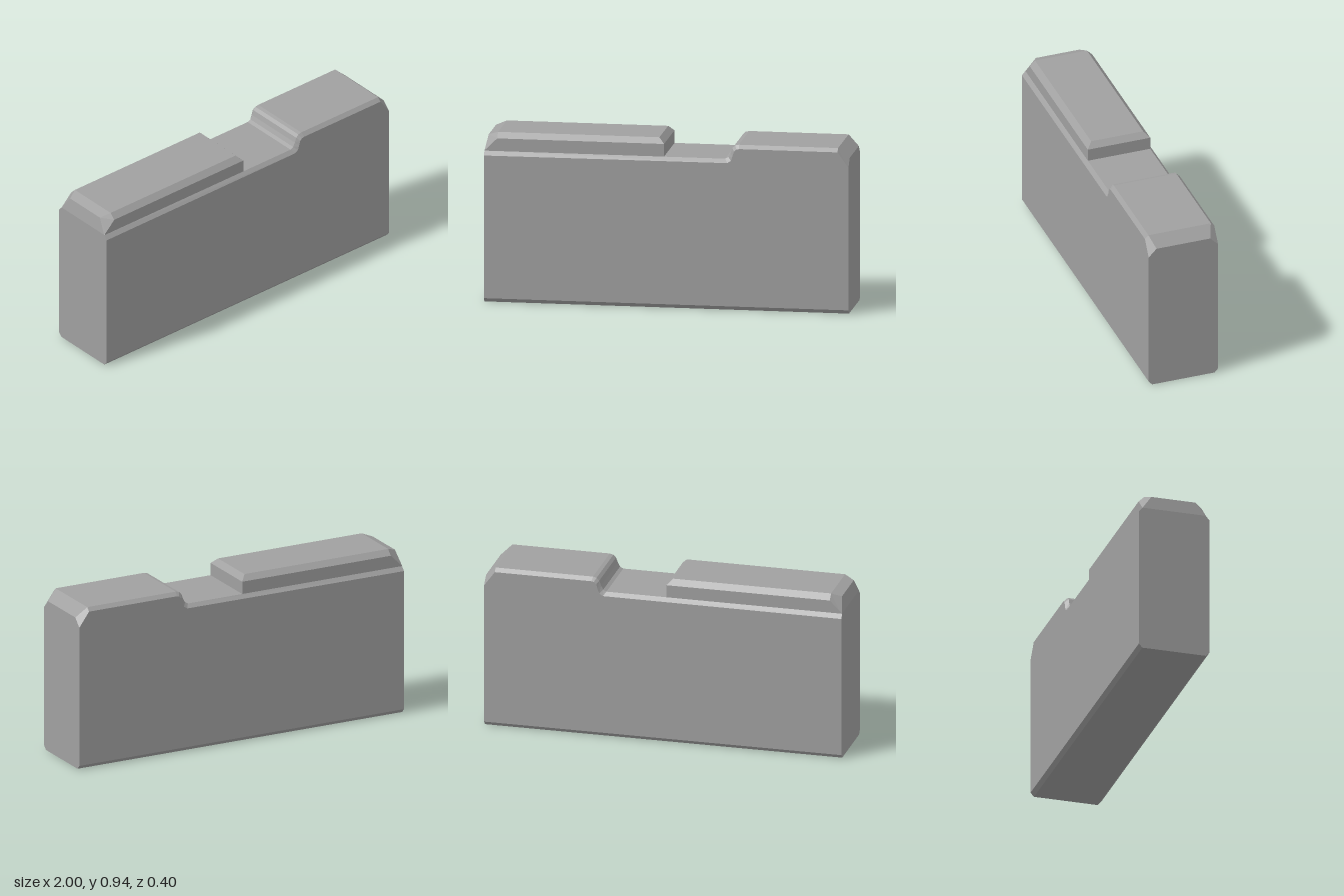
import * as THREE from 'three';

// Mirrors half a cross-section ([x, y, z] from bottom to top, z > 0) into a full ring,
// counter-clockwise when seen from +x.
function ring(half) {
  return [...half.map(([x, y, z]) => [x, y, -z]), ...half.slice().reverse()];
}

// Skins rings ordered from -x to +x and caps both ends, with hard facets.
function loft(halves) {
  const rings = halves.map(ring), n = rings[0].length, pos = [];
  const tri = (...corners) => corners.forEach((p) => pos.push(...p));
  for (let i = 0; i < rings.length - 1; i++) {
    const a = rings[i], b = rings[i + 1];
    for (let j = 0; j < n; j++) {
      const k = (j + 1) % n;
      tri(a[j], a[k], b[k]);
      tri(a[j], b[k], b[j]);
    }
  }
  const first = rings[0], last = rings[rings.length - 1];
  for (let j = 1; j < n - 1; j++) {
    tri(first[0], first[j + 1], first[j]);
    tri(last[0], last[j], last[j + 1]);
  }
  const geometry = new THREE.BufferGeometry();
  geometry.setAttribute('position', new THREE.Float32BufferAttribute(pos, 3));
  geometry.computeVertexNormals();
  return geometry;
}

export function createModel() {
  const group = new THREE.Group();
  const grey = new THREE.MeshStandardMaterial({ color: 0xa0a0a0 });
  grey.name = 'grey';

  const add = (name, geometry) => {
    const mesh = new THREE.Mesh(geometry, grey);
    mesh.name = name;
    group.add(mesh);
  };

  // Body: side edge (x, y), top edge (x, y) and top half width along the length
  const body = [
    [-1, 0.812, -1, 0.835, 0.18],
    [0.335, 0.815, 0.32, 0.835, 0.18],
    [0.355, 0.828, 0.338, 0.845, 0.18],
    [0.363, 0.85, 0.35, 0.868, 0.18],
    [0.372, 0.88, 0.36, 0.895, 0.18],
    [0.385, 0.892, 0.375, 0.91, 0.18],
    [0.4, 0.895, 0.395, 0.915, 0.18],
    [0.94, 0.895, 0.94, 0.915, 0.18],
    [1, 0.812, 1, 0.858, 0.155],
  ];
  add('body', loft(body.map(([sx, sy, tx, ty, w]) => [
    [sx, 0, 0.18], [sx, 0.022, 0.2], [sx, sy, 0.2], [tx, ty, w],
  ])));

  // Raised bar: shoulder height, top height and top half width along the length
  const bar = [
    [-1, 0.836, 0.837, 0.178],
    [-0.985, 0.85, 0.915, 0.125],
    [-0.93, 0.905, 0.935, 0.15],
    [-0.045, 0.905, 0.935, 0.15],
    [-0.015, 0.905, 0.905, 0.18],
  ];
  add('raisedBar', loft(bar.map(([x, shoulder, top, w]) => [
    [x, 0.832, 0.18], [x, shoulder, 0.18], [x, top, w],
  ])));

  return group;
}
